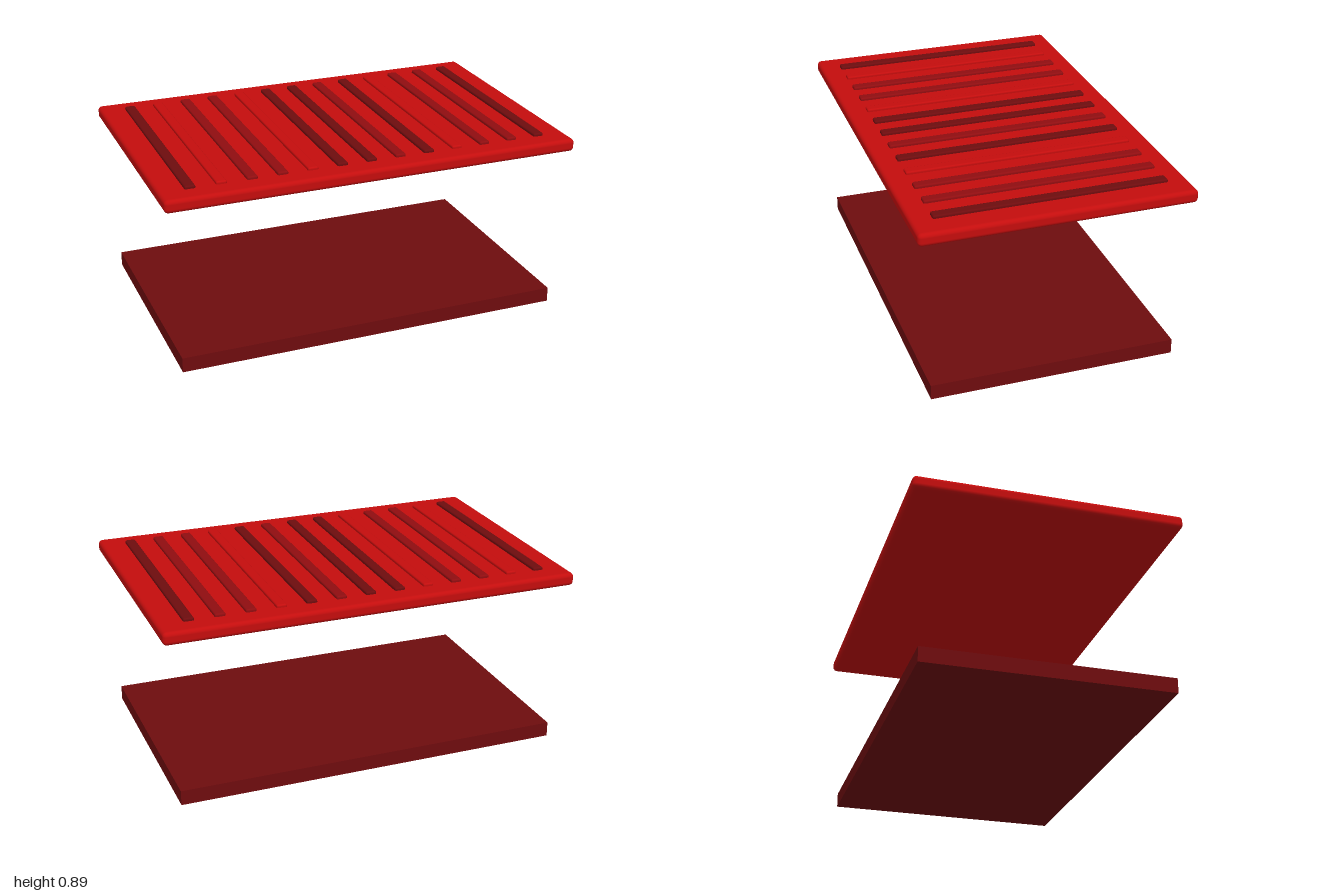
import * as THREE from 'three';
import { RoundedBoxGeometry } from 'three/addons/geometries/RoundedBoxGeometry.js';

function makeMaterial(name, color) {
  const m = new THREE.MeshStandardMaterial({ color });
  m.name = name;
  return m;
}

export function createModel() {
  const group = new THREE.Group();
  const red = makeMaterial('bright red', 0xc40d0d);
  const mid = makeMaterial('deep red', 0x900d10);
  const dark = makeMaterial('dark maroon', 0x6e0c0e);

  function add(name, geometry, material, x, y, z) {
    const mesh = new THREE.Mesh(geometry, material);
    mesh.name = name;
    mesh.position.set(x, y, z);
    group.add(mesh);
  }

  // Plain lower slab
  add('lowerSlab', new THREE.BoxGeometry(1.885, 0.072, 1.172), dark, 0, 0.036, 0);

  // Upper panel with softened edges
  add('upperPanel', new RoundedBoxGeometry(2, 0.062, 1.28, 3, 0.02), red, 0, 0.848, 0);

  // Raised ribs across the upper panel, in three tones
  const tones = [dark, red, mid, mid, red, dark, dark, mid, dark, red, mid, mid, dark];
  const ribGeometry = new RoundedBoxGeometry(0.05, 0.03, 1.085, 2, 0.008);
  tones.forEach((tone, i) => {
    add('rib' + (i + 1), ribGeometry, tone, (i - 6) * 0.143, 0.878, 0);
  });

  return group;
}
